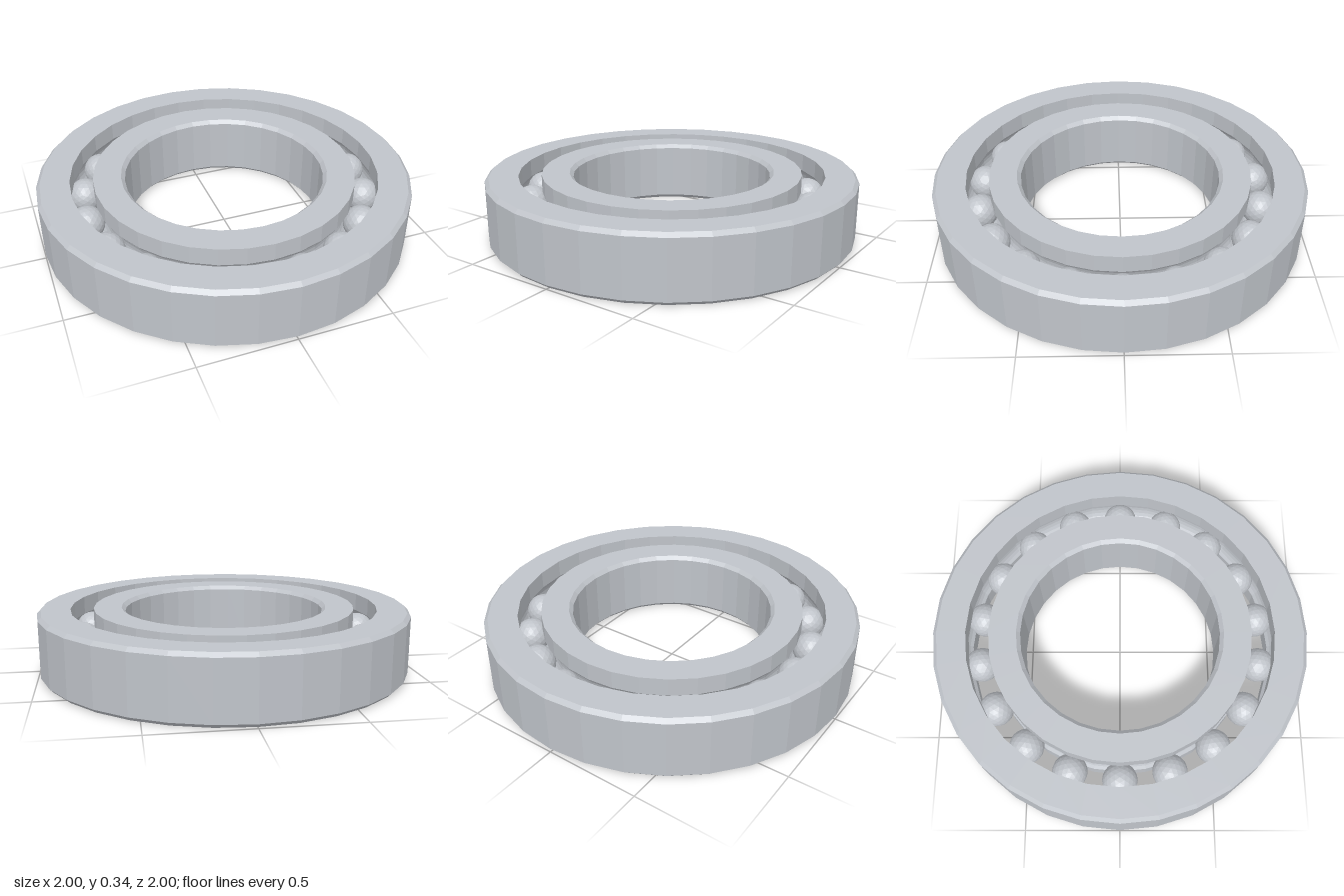
import * as THREE from 'three';

const SIDES = 32;
const HEIGHT = 0.34;
const CHAMFER = 0.02;
const PITCH = 0.763; // radius of the circle of ball centres
const GROOVE = 0.097;
const BALL = 0.093;
const BALLS = 18;

// Facet normals for every triangle
function faceted(geometry) {
  const flat = geometry.index ? geometry.toNonIndexed() : geometry;
  flat.computeVertexNormals();
  return flat;
}

// Ball groove arc from the wall radius, running up (dir 1) or down (dir -1)
function groove(wall, dir) {
  const offset = wall - PITCH;
  const half = Math.acos(Math.abs(offset) / GROOVE);
  const points = [];
  for (let i = 0; i <= 8; i++) {
    const a = dir * half * (i / 4 - 1);
    points.push([
      PITCH + Math.sign(offset) * GROOVE * Math.cos(a),
      HEIGHT / 2 + GROOVE * Math.sin(a),
    ]);
  }
  return points;
}

// Closed ring from a counter-clockwise (radius, y) section
function ring(name, section, material) {
  const points = [...section, section[0]].map(([r, y]) => new THREE.Vector2(r, y));
  const mesh = new THREE.Mesh(faceted(new THREE.LatheGeometry(points, SIDES)), material);
  mesh.name = name;
  return mesh;
}

export function createModel() {
  const steel = new THREE.MeshStandardMaterial({ color: 0xc0c4ca });
  steel.name = 'steel';
  const model = new THREE.Group();
  model.name = 'ballBearing';

  // Outer ring: chamfered outside, grooved inside
  const outerR = 1, outerWall = 0.825;
  model.add(ring('outerRing', [
    [outerWall, 0],
    [outerR - CHAMFER, 0],
    [outerR, CHAMFER],
    [outerR, HEIGHT - CHAMFER],
    [outerR - CHAMFER, HEIGHT],
    [outerWall, HEIGHT],
    ...groove(outerWall, -1),
  ], steel));

  // Inner ring: grooved outside, chamfered bore
  const bore = 0.535, innerWall = 0.703;
  model.add(ring('innerRing', [
    [bore + CHAMFER, 0],
    [innerWall, 0],
    ...groove(innerWall, 1),
    [innerWall, HEIGHT],
    [bore + CHAMFER, HEIGHT],
    [bore, HEIGHT - CHAMFER],
    [bore, CHAMFER],
  ], steel));

  // Balls evenly spaced between the rings
  const balls = new THREE.Group();
  balls.name = 'balls';
  const ballGeometry = faceted(new THREE.IcosahedronGeometry(BALL, 3));
  for (let i = 0; i < BALLS; i++) {
    const a = (i / BALLS) * Math.PI * 2;
    const ball = new THREE.Mesh(ballGeometry, steel);
    ball.name = 'ball';
    ball.position.set(PITCH * Math.cos(a), HEIGHT / 2, PITCH * Math.sin(a));
    ball.rotation.y = -a;
    balls.add(ball);
  }
  model.add(balls);
  return model;
}
